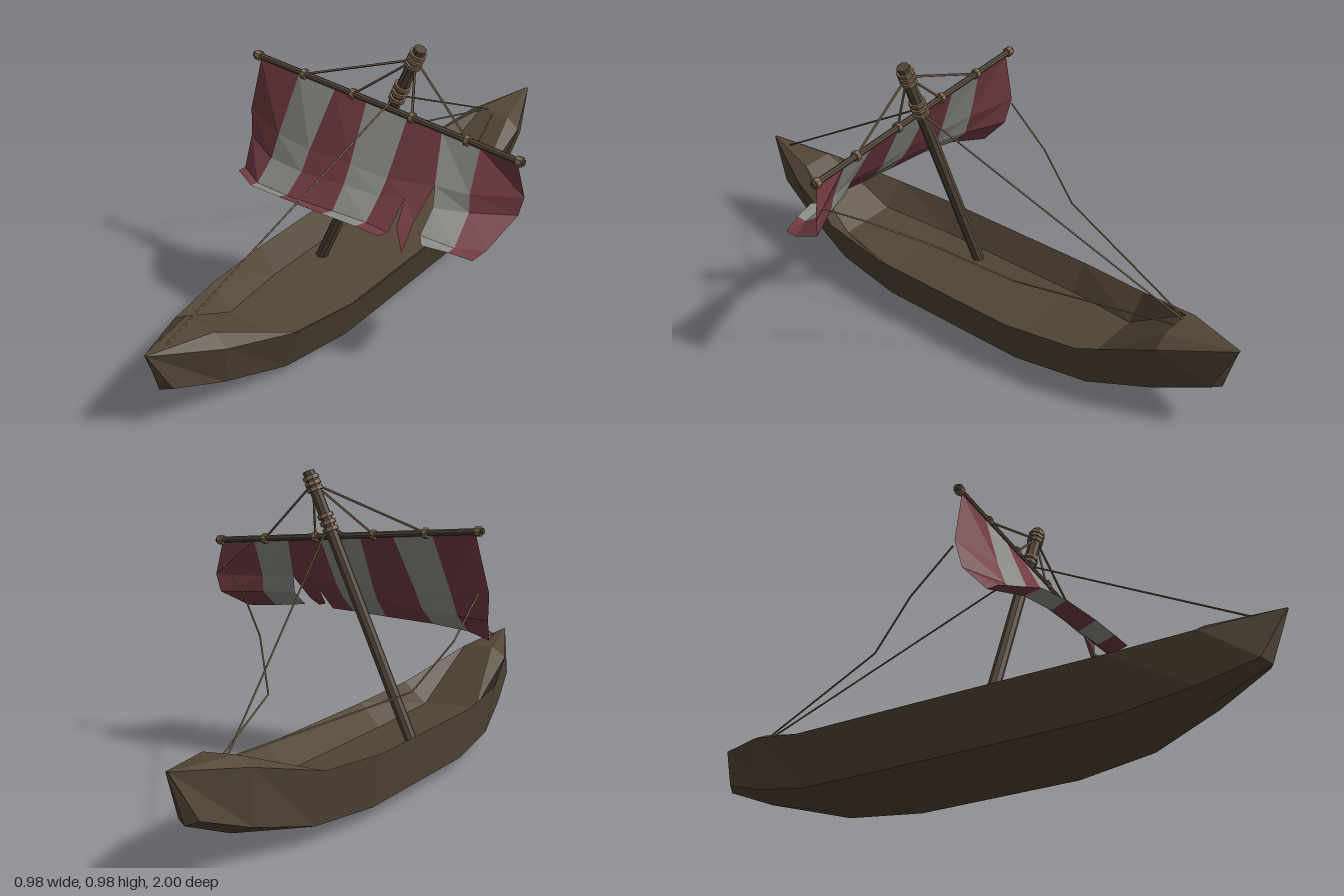
import * as THREE from 'three';

const mat = (name, color, side = THREE.FrontSide) => {
  const m = new THREE.MeshStandardMaterial({ color, side });
  m.name = name;
  return m;
};
const V = (p) => new THREE.Vector3(...p);

export function createModel() {
  const hullWood = mat('hull wood', 0x534536);
  const sparWood = mat('spar wood', 0x53463a);
  const ropeTan = mat('tan rope', 0x816a50);
  const red = mat('red cloth', 0x743c43, THREE.DoubleSide);
  const white = mat('pale cloth', 0x8f8f89, THREE.DoubleSide);

  const model = new THREE.Group();
  model.name = 'sailingBoat';

  const add = (name, geo, material, parent = model) => {
    const m = new THREE.Mesh(geo, material);
    m.name = name;
    parent.add(m);
    return m;
  };
  // flat-shaded geometry from a list of triangles
  const facets = (tris) => {
    const g = new THREE.BufferGeometry();
    g.setAttribute('position', new THREE.Float32BufferAttribute(tris.flat(2), 3));
    g.computeVertexNormals();
    return g;
  };
  // straight round bar between two points
  const bar = (name, a, b, r, material, sides = 8) => {
    const A = V(a), B = V(b), d = B.clone().sub(A);
    const g = new THREE.CylinderGeometry(r, r, d.length(), sides).toNonIndexed();
    g.computeVertexNormals();
    const m = add(name, g, material);
    m.position.copy(A).add(B).multiplyScalar(0.5);
    m.quaternion.setFromUnitVectors(new THREE.Vector3(0, 1, 0), d.normalize());
  };
  const rope = (name, pts, r) => {
    for (let i = 0; i < pts.length - 1; i++) bar(name, pts[i], pts[i + 1], r, ropeTan, 5);
  };

  // Hull stations: z, half beam, rail height, chine half width, chine height,
  // keel height, floor half width, floor height, chine z, keel z
  const middle = [
    [0.28, 0.204, 0.197, 0.158, 0.03, 0.003, 0.14, 0.115, 0.28, 0.28],
    [0.54, 0.175, 0.215, 0.128, 0.05, 0.027, 0.1, 0.14, 0.54, 0.54],
  ];
  const tip = [1.0, 0.004, 0.325, 0.035, 0.175, 0.165, 0.002, 0.326, 0.93, 0.95];
  // the small end decks rise above the rail
  const deckEnd = (rail, deck) => [0.78, 0.103, rail, 0.078, 0.11, 0.086, 0.055, deck, 0.76, 0.76];
  const bow = [...middle, deckEnd(0.265, 0.302), tip];
  const stern = [...middle, deckEnd(0.285, 0.316), tip];
  const ring = ([z, b, h, c, ch, k, f, fy, cz, kz], s) => [
    [b, h, z * s], [f, fy, z * s], [-f, fy, z * s], [-b, h, z * s],
    [-c, ch, cz * s], [0, k, kz * s], [c, ch, cz * s],
  ];
  const rings = [
    ...stern.reverse().map((s) => ring(s, -1)),
    ...bow.map((s) => ring(s, 1)),
  ];
  const tris = [];
  for (let i = 0; i < rings.length - 1; i++) {
    for (let j = 0; j < 7; j++) {
      const a = rings[i][j], b = rings[i][(j + 1) % 7];
      const d = rings[i + 1][j], c = rings[i + 1][(j + 1) % 7];
      tris.push([a, b, c], [a, c, d]);
    }
  }
  const first = rings[0], last = rings[rings.length - 1];
  for (let j = 1; j < 6; j++) {
    tris.push([last[0], last[j], last[j + 1]], [first[0], first[j + 1], first[j]]);
  }
  const hull = add('hull', facets(tris), hullWood);
  hull.position.x = -0.173;
  hull.rotation.set(0, -0.065, -0.092);

  // Leaning mast with two sets of rope lashings
  const foot = [-0.268, 0.11, 0.09], head = [0.118, 0.978, 0.09];
  const onMast = (y) => [foot[0] + (y - foot[1]) * 0.444, y, 0.09];
  bar('mast', foot, head, 0.02, sparWood);
  for (const y of [0.797, 0.818, 0.839, 0.922, 0.94, 0.957]) {
    bar('mastLashing', onMast(y - 0.006), onMast(y + 0.006), 0.027, ropeTan);
  }

  // Yard with end collars and rope rings
  const onYard = (x) => [x, 0.775 - 0.1 * x, 0.122];
  bar('yard', onYard(-0.472), onYard(0.488), 0.01, sparWood);
  for (const x of [-0.455, 0.472]) bar('yardCollar', onYard(x - 0.009), onYard(x + 0.009), 0.016, ropeTan);
  for (const x of [-0.28, -0.1, 0.11, 0.3]) {
    bar('yardRing', onYard(x - 0.007), onYard(x + 0.007), 0.017, ropeTan);
    rope('yardLift', [onMast(0.94), onYard(x)], 0.004);
  }

  // Stays and sheets
  rope('foreStay', [[0.035, 0.8, 0.11], [-0.2, 0.315, 0.92]], 0.003);
  rope('backStay', [[0.045, 0.8, 0.08], [-0.13, 0.305, -0.8]], 0.003);
  rope('rightSheet', [[-0.465, 0.63, 0.11], [-0.45, 0.51, -0.04], [-0.39, 0.385, -0.2], [-0.13, 0.31, -0.8]], 0.003);
  rope('leftSheet', [[0.46, 0.64, 0.12], [0.35, 0.57, 0.06], [0.2, 0.465, -0.08], [0.05, 0.34, -0.28], [-0.11, 0.305, -0.8]], 0.003);

  // Sail: each column runs from the yard down to the hem, which flares forward and up
  const cols = [
    [[-0.445, 0.812, 0.125], [-0.492, 0.63, 0.13], [-0.482, 0.54, 0.15], [-0.46, 0.462, 0.22], [-0.458, 0.468, 0.255]],
    [[-0.3, 0.798, 0.125], [-0.34, 0.605, 0.19], [-0.35, 0.53, 0.22], [-0.36, 0.469, 0.285], [-0.345, 0.49, 0.335]],
    [[-0.165, 0.785, 0.125], [-0.208, 0.598, 0.21], [-0.215, 0.535, 0.245], [-0.23, 0.476, 0.305], [-0.225, 0.5, 0.355]],
    [[-0.05, 0.774, 0.125], [-0.052, 0.6, 0.215], [-0.053, 0.545, 0.25], [-0.055, 0.482, 0.31], [-0.055, 0.505, 0.37]],
    [[0.095, 0.76, 0.125], [0.08, 0.59, 0.215], [0.075, 0.545, 0.25], [0.07, 0.487, 0.315], [0.07, 0.507, 0.375]],
    [[0.215, 0.747, 0.125], [0.238, 0.61, 0.2], [0.247, 0.55, 0.225], [0.25, 0.497, 0.3], [0.28, 0.495, 0.342]],
    [[0.345, 0.735, 0.125], [0.345, 0.605, 0.18], [0.35, 0.55, 0.19], [0.36, 0.485, 0.29], [0.36, 0.49, 0.325]],
    [[0.468, 0.722, 0.125], [0.49, 0.61, 0.115], [0.478, 0.55, 0.125], [0.445, 0.485, 0.25], [0.43, 0.475, 0.305]],
  ];
  const sail = new THREE.Group();
  sail.name = 'sail';
  model.add(sail);
  for (let i = 0; i < 7; i++) {
    const t = [];
    const L = cols[i], R = cols[i + 1];
    for (let r = 0; r < (i === 4 ? 1 : 4); r++) {
      t.push([L[r], L[r + 1], R[r + 1]], [L[r], R[r + 1], R[r]]);
    }
    if (i === 4) {
      // torn lower part with a hanging flap
      const [, A, B, C, K] = L, I = R[1];
      const D = [0.155, 0.487, 0.325], M = [0.155, 0.505, 0.38], E = [0.16, 0.565, 0.24];
      const F = [0.175, 0.505, 0.31], G = [0.24, 0.48, 0.385], H = [0.218, 0.525, 0.28];
      t.push([A, B, E], [B, C, D], [B, D, E], [C, K, M], [C, M, D]);
      t.push([A, E, I], [E, F, H], [F, G, H], [E, H, I]);
    }
    add('sailStripe', facets(t), i % 2 ? white : red, sail);
  }
  return model;
}
